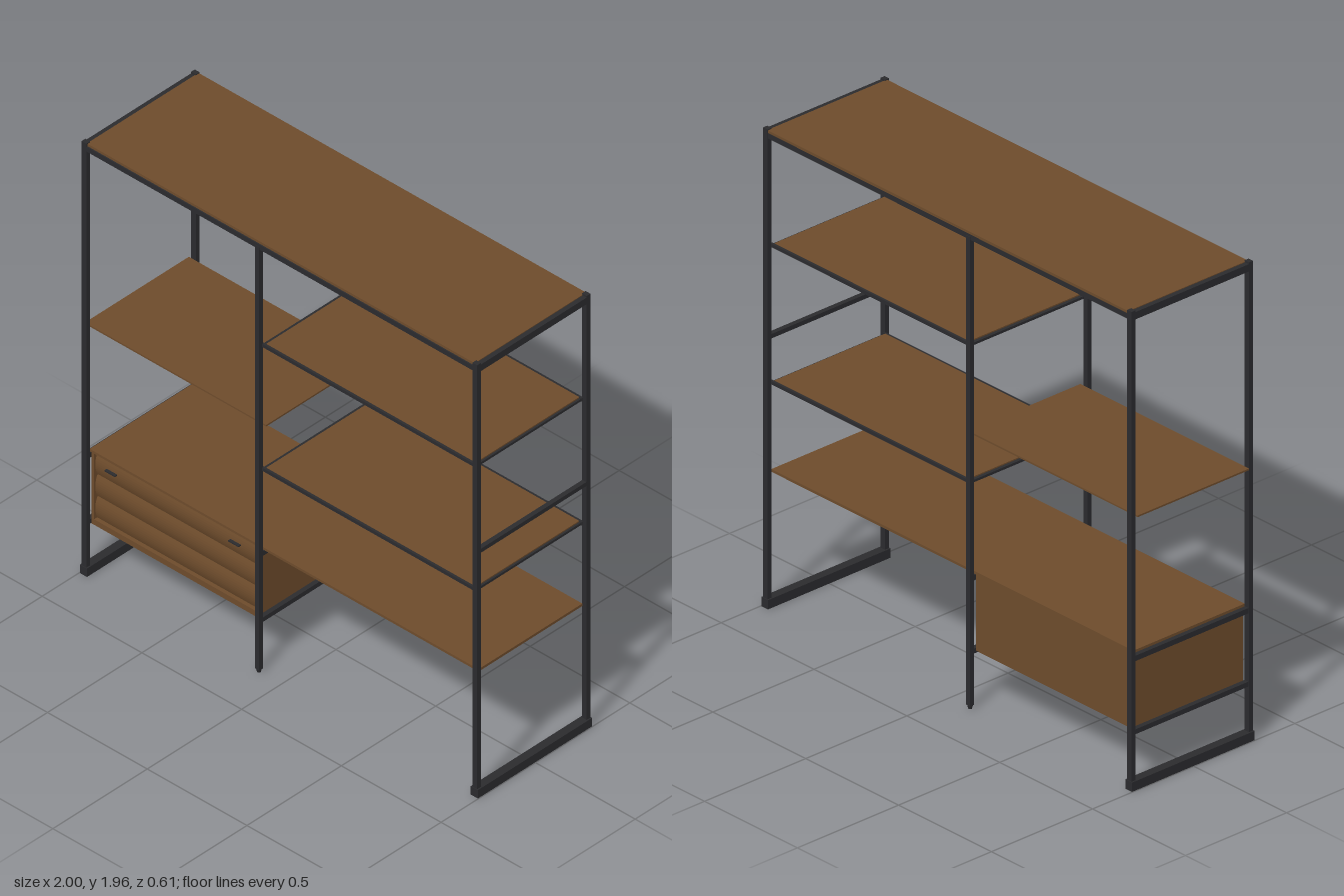
import * as THREE from 'three';

const wood = new THREE.MeshStandardMaterial({ color: 0x6e4c2c });
wood.name = 'walnut wood';
const metal = new THREE.MeshStandardMaterial({ color: 0x2b2b2e });
metal.name = 'black metal';

// Box given by its min and max corners
function box(parent, name, mat, [x0, y0, z0], [x1, y1, z1]) {
  const mesh = new THREE.Mesh(new THREE.BoxGeometry(x1 - x0, y1 - y0, z1 - z0), mat);
  mesh.position.set((x0 + x1) / 2, (y0 + y1) / 2, (z0 + z1) / 2);
  mesh.name = name;
  parent.add(mesh);
  return mesh;
}

function group(parent, name) {
  const g = new THREE.Group();
  g.name = name;
  parent.add(g);
  return g;
}

// Bar running front to back between the posts
function crossBar(parent, name, x, y0, y1, w = 0.02) {
  box(parent, name, metal, [x - w / 2, y0, -0.28], [x + w / 2, y1, 0.28]);
}

const MID = -0.112, END = 0.98;

function buildFrame(parent) {
  const frame = group(parent, 'frame');
  for (const z of [-0.29, 0.29]) {
    for (const x of [-END, END])
      box(frame, 'cornerPost', metal, [x - 0.012, 0.03, z - 0.01], [x + 0.012, 1.965, z + 0.01]);
    box(frame, 'middlePost', metal, [MID - 0.011, 0.015, z - 0.01], [MID + 0.011, 1.94, z + 0.01]);
    const foot = new THREE.Mesh(new THREE.CylinderGeometry(0.011, 0.007, 0.015, 12), metal);
    foot.position.set(MID, 0.0075, z);
    foot.name = 'middleFoot';
    frame.add(foot);
    box(frame, 'topRail', metal, [-END, 1.928, z - 0.008], [END, 1.95, z + 0.008]);
  }
  for (const x of [-END, END]) {
    box(frame, 'floorRail', metal, [x - 0.018, 0, -0.303], [x + 0.018, 0.038, 0.303]);
    crossBar(frame, 'topCrossBar', x, 1.928, 1.958, 0.024);
  }
  crossBar(frame, 'topMiddleBar', MID, 1.928, 1.949);
  crossBar(frame, 'sideBar', END, 1.1, 1.118);
  // Bars carrying the drawer cabinet
  for (const x of [-END, MID]) {
    crossBar(frame, 'cabinetUpperBar', x, 0.525, 0.547);
    crossBar(frame, 'cabinetLowerBar', x, 0.225, 0.245);
  }
}

function buildShelves(parent) {
  const shelves = group(parent, 'shelves');
  box(shelves, 'topPanel', wood, [-0.972, 1.95, -0.298], [0.972, 1.961, 0.293]);
  box(shelves, 'leftShelf', wood, [-0.998, 1.117, -0.275], [-0.09, 1.124, 0.275]);
  box(shelves, 'lowRightShelf', wood, [-0.115, 0.55, -0.275], [0.975, 0.561, 0.275]);

  // Two shelves on metal trays with slats below
  for (const y of [0.915, 1.478]) {
    const tray = group(shelves, 'slattedShelf');
    box(tray, 'shelfBoard', wood, [-0.09, y + 0.009, -0.274], [0.96, y + 0.015, 0.274]);
    for (const z of [-0.279, 0.279])
      box(tray, 'shelfRail', metal, [-0.105, y, z - 0.005], [0.972, y + 0.014, z + 0.005]);
    for (let i = 0; i < 9; i++) {
      const x = -0.095 + i * (1.055 / 8);
      box(tray, 'slat', metal, [x - 0.009, y, -0.275], [x + 0.009, y + 0.01, 0.275]);
    }
  }
}

// Gently bowed drawer face, swept along x
function drawerFront(width, height) {
  const shape = new THREE.Shape();
  shape.moveTo(0, 0);
  shape.lineTo(0.02, 0);
  shape.quadraticCurveTo(0.04, height / 2, 0.02, height);
  shape.lineTo(0, height);
  shape.closePath();
  const geo = new THREE.ExtrudeGeometry(shape, { depth: width, bevelEnabled: false, curveSegments: 10 });
  geo.rotateY(-Math.PI / 2); // profile depth now points to +z
  geo.translate(width / 2, 0, 0);
  return geo;
}

function buildCabinet(parent) {
  const cabinet = group(parent, 'drawerCabinet');
  const x0 = -0.968, x1 = -0.125, y0 = 0.235, y1 = 0.55, z = 0.272;
  box(cabinet, 'cabinetTop', wood, [-0.975, y1, -0.275], [-0.115, 0.561, 0.275]);
  box(cabinet, 'cabinetBottom', wood, [x0, y0, -z], [x1, y0 + 0.014, z]);
  box(cabinet, 'cabinetLeftSide', wood, [x1 - 0.012, y0, -z], [x1, y1, z]);
  box(cabinet, 'cabinetRightSide', wood, [x0, y0, -z], [x0 + 0.012, y1, z]);
  box(cabinet, 'cabinetBack', wood, [x0, y0, -z], [x1, y1, -z + 0.012]);
  box(cabinet, 'bottomSupport', metal, [-END, 0.222, -0.03], [MID, y0, 0.03]);
  box(cabinet, 'frontLip', wood, [x0, 0.224, z - 0.02], [x1, y0, z]);

  const width = x1 - x0 - 0.03, h = 0.094;
  for (let i = 0; i < 3; i++) {
    const drawer = new THREE.Mesh(drawerFront(width, h), wood);
    drawer.position.set((x0 + x1) / 2, 0.252 + i * 0.099, 0.238);
    drawer.name = 'drawerFront';
    cabinet.add(drawer);
  }
  // Dark backing in the gaps between drawers
  box(cabinet, 'drawerGapBacking', metal, [x0 + 0.012, y0 + 0.014, 0.23], [x1 - 0.012, y1, 0.238]);
  for (const x of [-0.87, -0.25])
    box(cabinet, 'drawerPull', metal, [x - 0.026, 0.502, 0.26], [x + 0.026, 0.507, 0.28]);
}

export function createModel() {
  const model = new THREE.Group();
  model.name = 'shelvingUnit';
  buildFrame(model);
  buildShelves(model);
  buildCabinet(model);
  return model;
}
